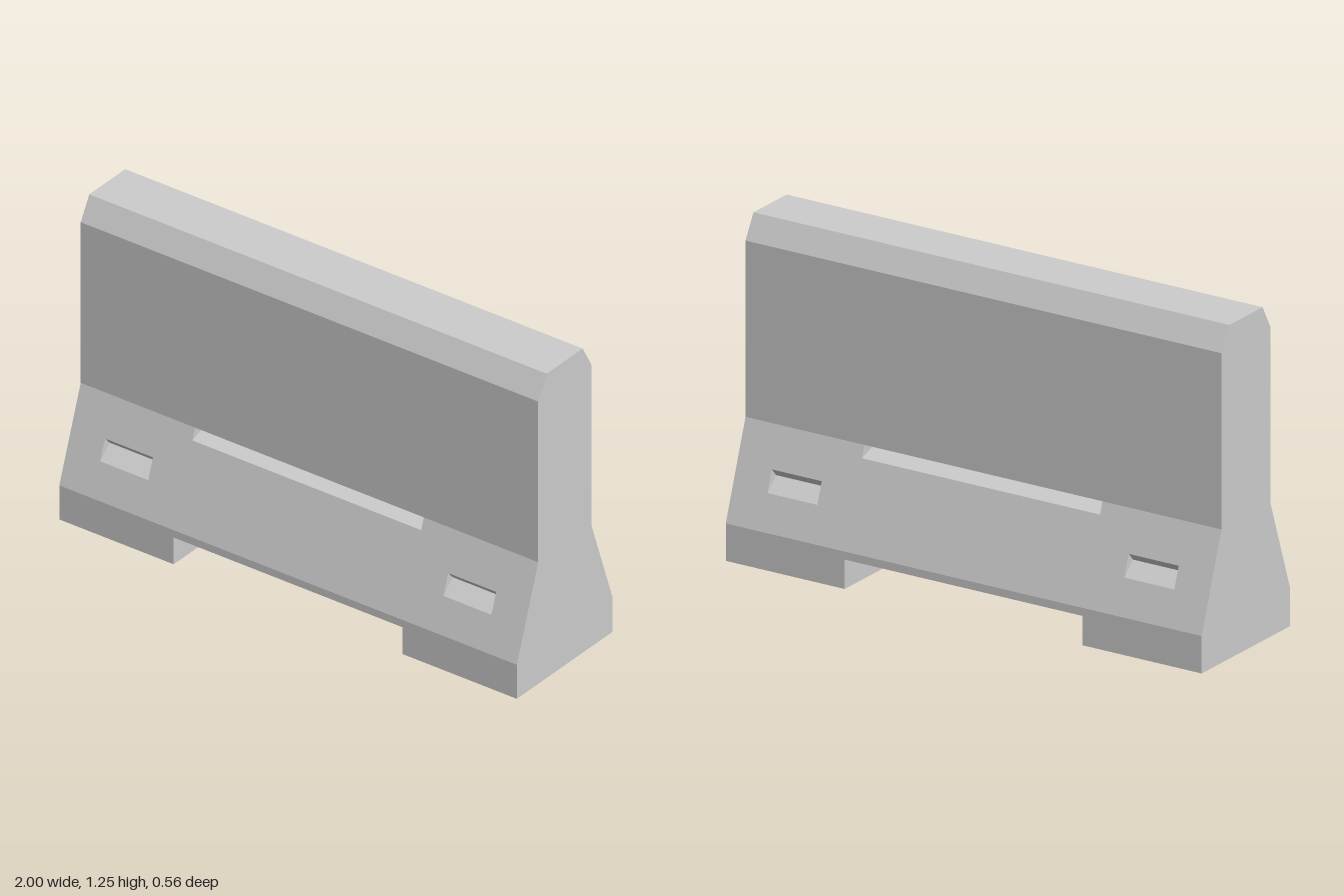
import * as THREE from 'three';

// Half profile of the barrier as [y, z], from the ground to the top
const PROFILE = [[0, 0.28], [0.14, 0.28], [0.5, 0.155], [1.16, 0.155], [1.25, 0.105]];
const NOTCH_X = 0.5, NOTCH_Y = 0.11;

const material = new THREE.MeshStandardMaterial({
  color: 0xcccccc, flatShading: true, side: THREE.DoubleSide,
});

function addMesh(parent, name, geometry) {
  const flat = geometry.index ? geometry.toNonIndexed() : geometry;
  flat.computeVertexNormals();
  const mesh = new THREE.Mesh(flat, material);
  mesh.name = name;
  parent.add(mesh);
  return mesh;
}

const outline = (points) => points.map(([x, y]) => new THREE.Vector2(x, y));
const rect = (x0, y0, x1, y1) => [[x0, y0], [x1, y0], [x1, y1], [x0, y1]];

// Flat panel drawn in x and y, then leaned so that it follows one profile segment
function panel(segment, points, holes = []) {
  const [[y0, z0], [y1, z1]] = [PROFILE[segment], PROFILE[segment + 1]];
  const shape = new THREE.Shape(outline(points));
  holes.forEach((h) => shape.holes.push(new THREE.Path(outline(h))));
  const geometry = new THREE.ShapeGeometry(shape);
  const pos = geometry.attributes.position;
  for (let i = 0; i < pos.count; i++) {
    pos.setZ(i, z0 + (z1 - z0) * (pos.getY(i) - y0) / (y1 - y0));
  }
  return geometry;
}

// Wedge-shaped recess between x0 and x1; top, inner and bottom edges are [y, z]
function recess(x0, x1, top, inner, bottom) {
  const p = (x, [y, z]) => [x, y, z];
  const quad = (lo, hi) => [p(x0, lo), p(x1, lo), p(x1, hi), p(x0, lo), p(x1, hi), p(x0, hi)];
  const corners = [
    ...quad(inner, top), ...quad(bottom, inner),
    p(x0, bottom), p(x0, inner), p(x0, top),
    p(x1, top), p(x1, inner), p(x1, bottom),
  ];
  const geometry = new THREE.BufferGeometry();
  geometry.setAttribute('position', new THREE.Float32BufferAttribute(corners.flat(), 3));
  return geometry;
}

function createSide(name) {
  const side = new THREE.Group();
  side.name = name;
  const slopeZ = (y) => 0.28 - 0.125 * (y - 0.14) / 0.36;
  const slotY = 0.455, pocketLow = 0.27, pocketHigh = 0.35;

  // Foot band with the passage cut out of its lower edge
  addMesh(side, 'footBand', panel(0, [
    [-1, 0], [-NOTCH_X, 0], [-NOTCH_X, NOTCH_Y], [NOTCH_X, NOTCH_Y],
    [NOTCH_X, 0], [1, 0], [1, 0.14], [-1, 0.14],
  ]));

  // Sloped face with the long slot and two pocket openings
  const pockets = [[-0.855, -0.645], [0.645, 0.855]];
  addMesh(side, 'slope', panel(1, [
    [-1, 0.14], [1, 0.14], [1, 0.5], [0.5, 0.5],
    [0.5, slotY], [-0.5, slotY], [-0.5, 0.5], [-1, 0.5],
  ], pockets.map(([a, b]) => rect(a, pocketLow, b, pocketHigh))));

  addMesh(side, 'upperWall', panel(2, rect(-1, 0.5, 1, 1.16)));
  addMesh(side, 'topChamfer', panel(3, rect(-1, 1.16, 1, 1.25)));

  // Recesses behind the openings
  addMesh(side, 'longSlot', recess(-0.5, 0.5, [0.5, 0.155], [0.478, 0.105], [slotY, slopeZ(slotY)]));
  pockets.forEach(([a, b]) => addMesh(side, 'liftingPocket',
    recess(a, b, [pocketHigh, slopeZ(pocketHigh)], [0.32, 0.18], [pocketLow, slopeZ(pocketLow)])));
  return side;
}

export function createModel() {
  const model = new THREE.Group();
  model.name = 'concreteBarrier';

  // Matching front and back
  const back = createSide('backSide');
  back.rotation.y = Math.PI;
  model.add(createSide('frontSide'), back);

  // Top surface and passage ceiling
  const top = addMesh(model, 'top', new THREE.PlaneGeometry(2, 0.21));
  top.rotation.x = -Math.PI / 2;
  top.position.y = 1.25;
  const ceiling = addMesh(model, 'passageCeiling', new THREE.PlaneGeometry(2 * NOTCH_X, 0.56));
  ceiling.rotation.x = Math.PI / 2;
  ceiling.position.y = NOTCH_Y;

  // End faces and inner faces of the hollow, open-bottomed feet
  const right = PROFILE.map(([y, z]) => [z, y]);
  const left = PROFILE.map(([y, z]) => [-z, y]).reverse();
  const endShape = new THREE.Shape(outline([...right, ...left]));
  for (const s of [-1, 1]) {
    const end = addMesh(model, 'endFace', new THREE.ShapeGeometry(endShape));
    end.rotation.y = s * Math.PI / 2;
    end.position.x = s;
    const inner = addMesh(model, 'footInnerFace', new THREE.PlaneGeometry(0.56, NOTCH_Y));
    inner.rotation.y = -s * Math.PI / 2;
    inner.position.set(s * NOTCH_X, NOTCH_Y / 2, 0);
  }
  return model;
}
